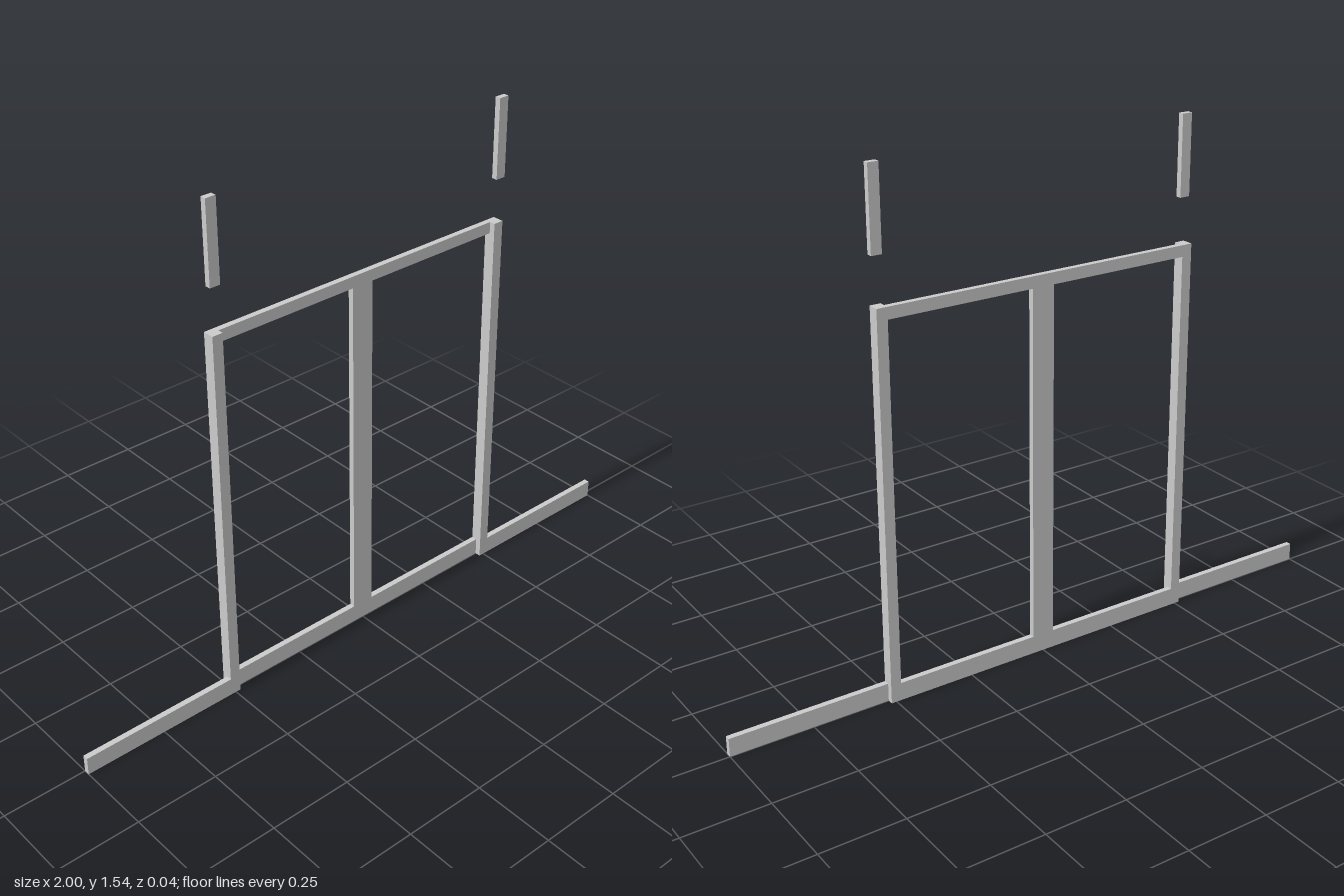
import * as THREE from 'three';

const DEPTH = 0.0175;
const INNER = 0.484, OUTER = 0.516, TOP = 1.165, RAIL = 0.055;

// Counter-clockwise rectangle outline
const rect = (x0, y0, x1, y1) => [[x0, y0], [x1, y0], [x1, y1], [x0, y1]]
  .map(([x, y]) => new THREE.Vector2(x, y));

export function createModel() {
  const group = new THREE.Group();
  const material = new THREE.MeshStandardMaterial({ color: 0xcccccc, flatShading: true });

  const addPlate = (name, shape, z) => {
    const geometry = new THREE.ExtrudeGeometry(shape, { depth: DEPTH, bevelEnabled: false });
    const mesh = new THREE.Mesh(geometry, material);
    mesh.name = name;
    mesh.position.z = z;
    group.add(mesh);
  };

  // Rear frame with two tall openings either side of the central mullion
  const frame = new THREE.Shape(rect(-OUTER, 0, OUTER, TOP));
  for (const [x0, x1] of [[-INNER, -0.035], [0.035, INNER]]) {
    frame.holes.push(new THREE.Path(rect(x0, RAIL, x1, 1.13)));
  }
  addPlate('windowFrame', frame, -DEPTH);

  for (const [side, s] of [['left', 1], ['right', -1]]) {
    // Front post joined to the skirting rail running outwards
    const post = new THREE.Shape([
      [INNER, 0], [1, 0], [1, RAIL], [OUTER, RAIL], [OUTER, TOP], [INNER, TOP],
    ].map(([x, y]) => new THREE.Vector2(s * x, y)));
    addPlate(side + 'PostAndRail', post, 0);

    // Short separate strip above the post
    const strip = new THREE.Shape(rect(s * INNER, 1.3, s * OUTER, 1.54));
    addPlate(side + 'UpperStrip', strip, 0);
  }
  return group;
}
